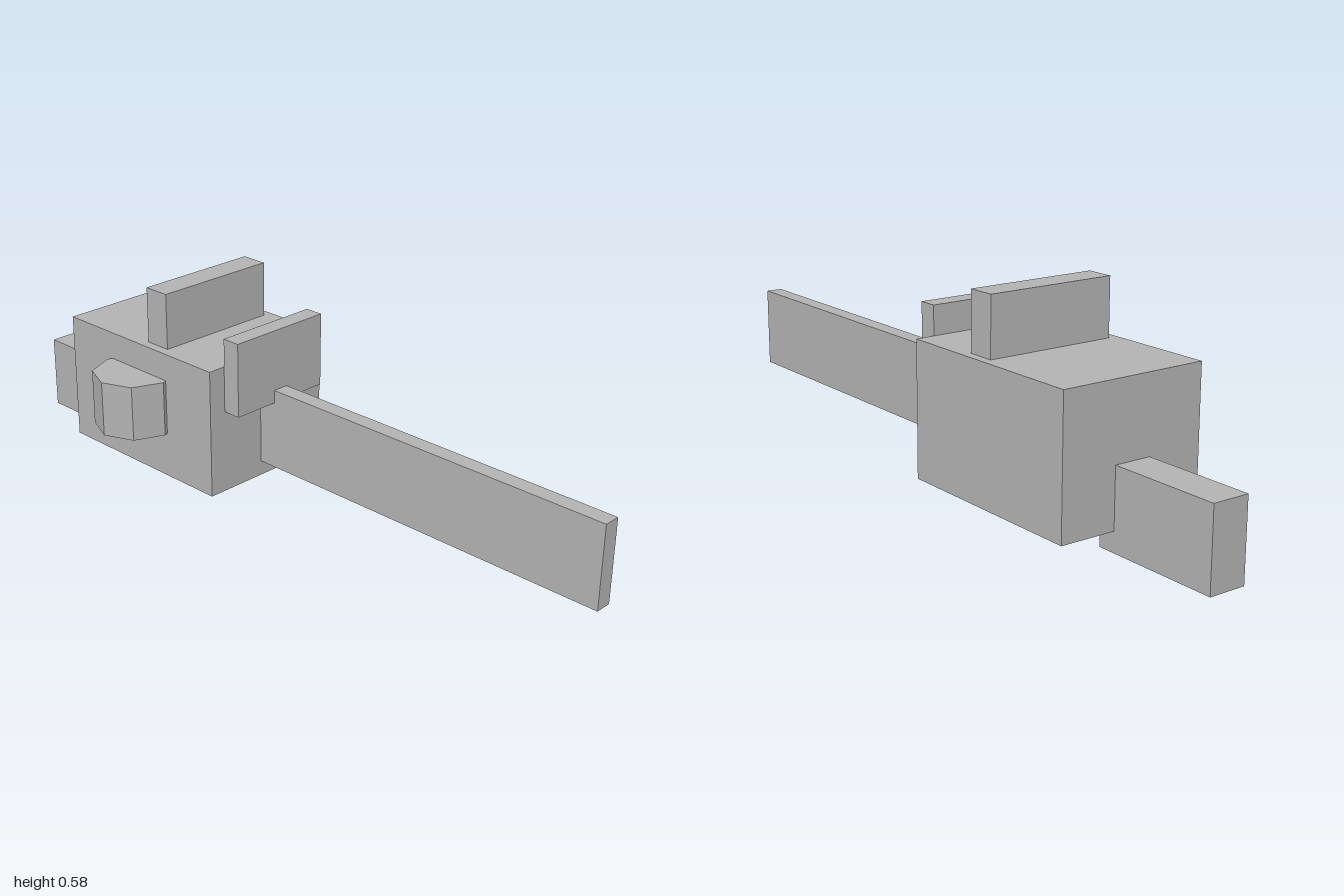
import * as THREE from 'three';

export function createModel() {
  const model = new THREE.Group();
  model.name = 'chainsaw';

  const grey = new THREE.MeshStandardMaterial({ color: 0xb2b2b2, flatShading: true });
  grey.name = 'plain grey';

  // Adds a block spanning the given [min, max] ranges
  function block(name, [x0, x1], [y0, y1], [z0, z1]) {
    const mesh = new THREE.Mesh(new THREE.BoxGeometry(x1 - x0, y1 - y0, z1 - z0), grey);
    mesh.position.set((x0 + x1) / 2, (y0 + y1) / 2, (z0 + z1) / 2);
    mesh.name = name;
    model.add(mesh);
  }

  // Engine housing and the long cutting bar
  block('engineHousing', [-0.145, 0.274], [0.054, 0.42], [-0.685, -0.11]);
  block('guideBar', [0.041, 0.088], [0.097, 0.327], [-0.13, 1]);

  // Grips and the upright guard at the front
  block('rearHandle', [0.013, 0.117], [0, 0.215], [-1, -0.635]);
  block('topHandle', [-0.118, 0.249], [0.4, 0.578], [-0.385, -0.307]);
  block('handGuard', [-0.093, 0.221], [0.29, 0.499], [-0.11, -0.057]);

  // Eight-sided cap, half sunk into the side of the housing
  const cap = new THREE.Mesh(new THREE.CylinderGeometry(0.118, 0.118, 0.157, 8), grey);
  cap.position.set(-0.158, 0.2635, -0.4);
  cap.name = 'starterCap';
  model.add(cap);

  return model;
}
